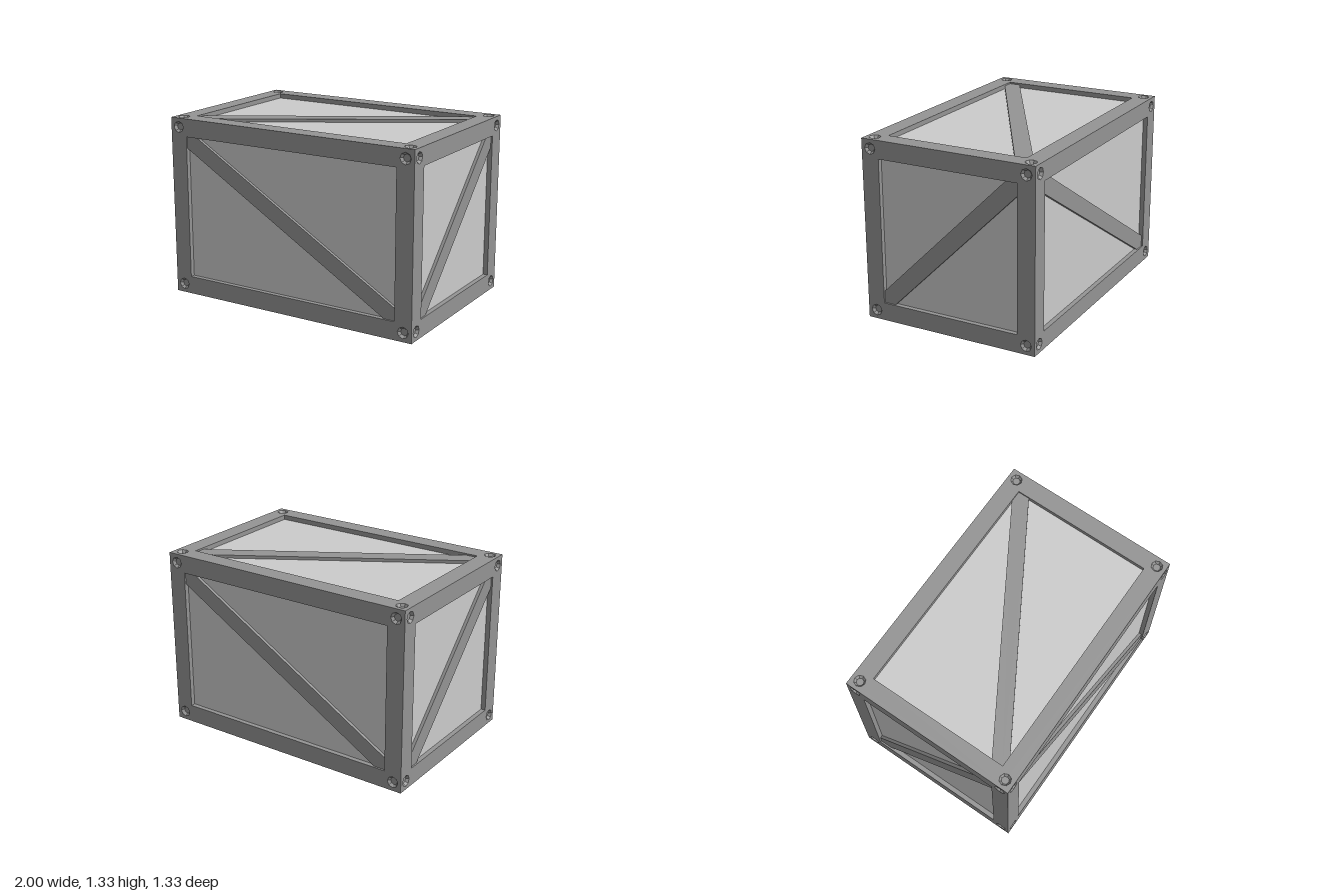
import * as THREE from 'three';

const W = 2, H = 1.333, D = 1.333;   // crate size
const RIM = 0.133;                   // frame width
const RECESS = 0.035;                // panel depth below the frame
const BRACE_H = 0.023, BRACE_CUT = 0.088;
const HOLE_R = 0.042, HOLE_R2 = 0.027, HOLE_DEPTH = 0.02;

const panelMat = new THREE.MeshStandardMaterial({ color: 0xcccccc, flatShading: true });
const frameMat = new THREE.MeshStandardMaterial({ color: 0x949494, flatShading: true });

const rect = (a, b) => [[a, b], [-a, b], [-a, -b], [a, -b]].map(p => new THREE.Vector2(...p));

const octagon = (cx, cy, r) => Array.from({ length: 8 }, (_, i) => {
  const t = i * Math.PI / 4;
  return new THREE.Vector2(cx + r * Math.cos(t), cy + r * Math.sin(t));
});

// Inward-facing wall between two counter-clockwise loops, the second one deeper
function wall(top, zTop, bottom, zBottom) {
  const v = [];
  const n = top.length;
  for (let i = 0; i < n; i++) {
    const j = (i + 1) % n;
    const a = [top[i].x, top[i].y, zTop], b = [top[j].x, top[j].y, zTop];
    const c = [bottom[j].x, bottom[j].y, zBottom], d = [bottom[i].x, bottom[i].y, zBottom];
    v.push(...a, ...b, ...d, ...b, ...c, ...d);
  }
  const g = new THREE.BufferGeometry();
  g.setAttribute('position', new THREE.Float32BufferAttribute(v, 3));
  g.computeVertexNormals();
  return g;
}

function add(group, name, geometry, material, z = 0) {
  const mesh = new THREE.Mesh(geometry, material);
  mesh.name = name;
  mesh.position.z = z;
  group.add(mesh);
}

// One crate side in the xy plane, outside towards +z; slope 1 rises to the right
function crateSide(name, w, h, slope) {
  const side = new THREE.Group();
  side.name = name;
  const a = w / 2 - RIM, b = h / 2 - RIM;
  const windowLoop = rect(a, b);

  // Frame face with the window and four bolt holes cut out
  const face = new THREE.Shape(rect(w / 2, h / 2));
  face.holes.push(new THREE.Path(windowLoop));
  for (const sx of [-1, 1]) for (const sy of [-1, 1]) {
    const cx = sx * (w - RIM) / 2, cy = sy * (h - RIM) / 2;
    const rim = octagon(cx, cy, HOLE_R), base = octagon(cx, cy, HOLE_R2);
    face.holes.push(new THREE.Path(rim));
    add(side, 'boltHoleWall', wall(rim, 0, base, -HOLE_DEPTH), frameMat);
    add(side, 'boltHoleBase', new THREE.ShapeGeometry(new THREE.Shape(base)), frameMat, -HOLE_DEPTH);
  }
  add(side, 'frame', new THREE.ShapeGeometry(face), frameMat);
  add(side, 'frameInnerWall', wall(windowLoop, 0, windowLoop, -RECESS), frameMat);

  // Recessed panel
  add(side, 'panel', new THREE.PlaneGeometry(2 * a, 2 * b), panelMat, -RECESS);

  // Diagonal brace, cut to fit both window corners
  const c = BRACE_CUT;
  const outline = [[-a, -b], [-a + c, -b], [a, b - c], [a, b], [a - c, b], [-a, -b + c]]
    .map(([x, y]) => new THREE.Vector2(x * slope, y));
  add(side, 'brace', new THREE.ExtrudeGeometry(new THREE.Shape(outline),
    { depth: BRACE_H, bevelEnabled: false }), frameMat, -RECESS);
  return side;
}

export function createModel() {
  const crate = new THREE.Group();
  crate.name = 'crate';
  const q = Math.PI / 2;
  // name, width, height, brace slope, rotation x, rotation y, distance from centre
  const sides = [
    ['frontSide', W, H, -1, 0, 0, D / 2],
    ['backSide', W, H, -1, 0, 2 * q, D / 2],
    ['leftSide', D, H, 1, 0, q, W / 2],
    ['rightSide', D, H, 1, 0, -q, W / 2],
    ['topSide', W, D, 1, -q, 0, H / 2],
    ['bottomSide', W, D, 1, q, 0, H / 2],
  ];
  for (const [name, w, h, slope, rx, ry, dist] of sides) {
    const side = crateSide(name, w, h, slope);
    side.rotation.set(rx, ry, 0);
    side.translateZ(dist);
    side.position.y += H / 2;
    crate.add(side);
  }
  return crate;
}
